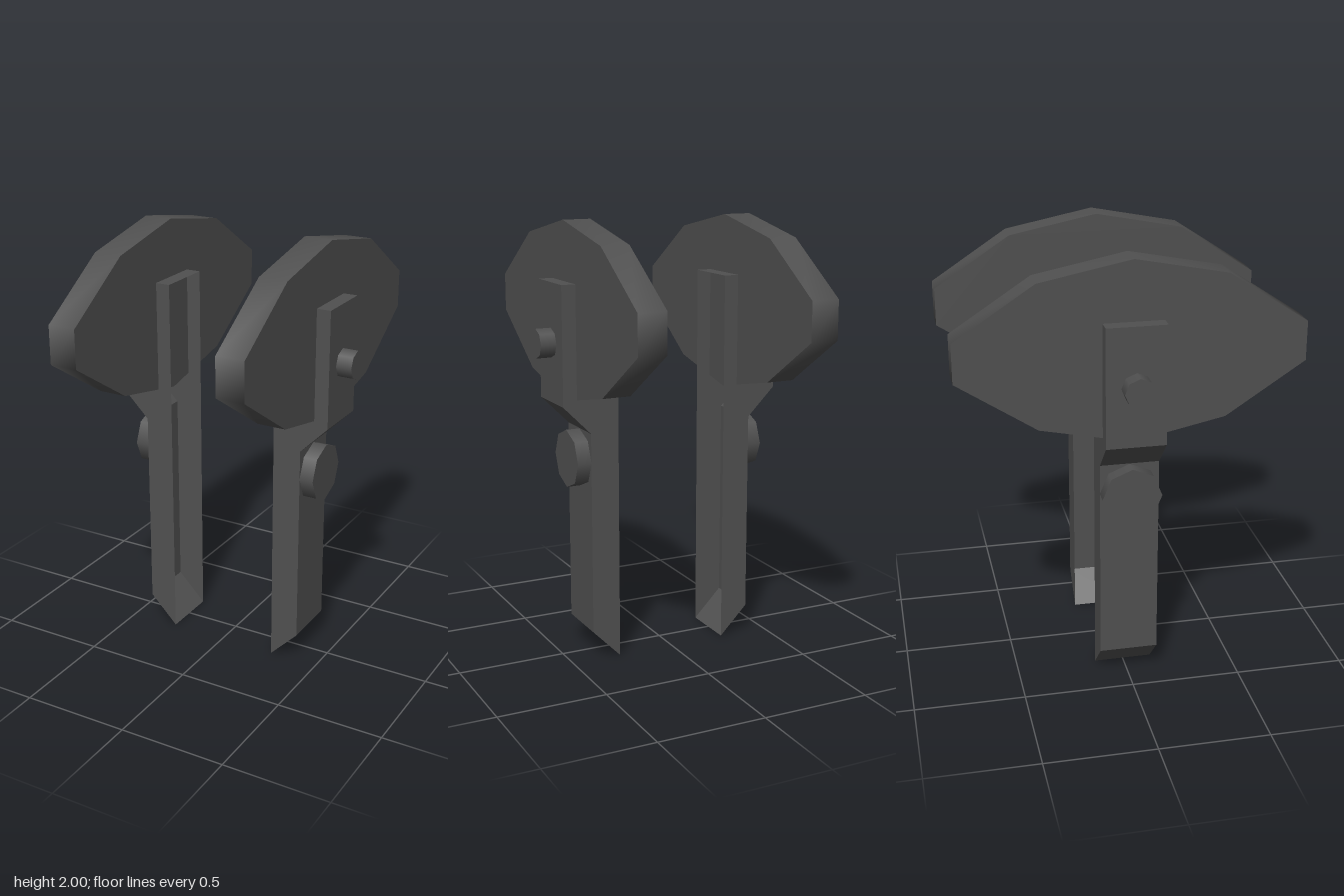
import * as THREE from 'three';
import { toCreasedNormals } from 'three/addons/utils/BufferGeometryUtils.js';

const darkGrey = new THREE.MeshStandardMaterial({ color: 0x505050, side: THREE.DoubleSide });
darkGrey.name = 'darkGrey';

const HALF_DEPTH = 0.132;

// Arm outline (x, y), from the inner tip round the outside to the inner top
const ARM = [[0.267, 0], [0.4, 0.135], [0.4, 1.07], [0.53, 1.2], [0.53, 1.735], [0.267, 1.735]];

// One half of the paddle outline (z, y)
const PADDLE = [[0, 2], [0.405, 1.92], [0.755, 1.69], [0.755, 1.515], [0.405, 1.285], [0, 1.2]];

function mesh(name, geometry) {
  const m = new THREE.Mesh(geometry, darkGrey);
  m.name = name;
  return m;
}

// Outer walls of the hollow arm; the inner side stays open
function wallGeometry(side) {
  const positions = [];
  for (let i = 0; i < ARM.length - 1; i++) {
    const [a, b] = side > 0 ? [ARM[i], ARM[i + 1]] : [ARM[i + 1], ARM[i]];
    const af = [a[0] * side, a[1], HALF_DEPTH], ab = [a[0] * side, a[1], -HALF_DEPTH];
    const bf = [b[0] * side, b[1], HALF_DEPTH], bb = [b[0] * side, b[1], -HALF_DEPTH];
    positions.push(...af, ...ab, ...bb, ...af, ...bb, ...bf);
  }
  const g = new THREE.BufferGeometry();
  g.setAttribute('position', new THREE.Float32BufferAttribute(positions, 3));
  g.computeVertexNormals();
  return g;
}

// Faceted paddle plate, softly shaded round its rim
function paddleGeometry() {
  const mirrored = PADDLE.slice(1, -1).reverse().map(([z, y]) => [-z, y]);
  const shape = new THREE.Shape([...PADDLE, ...mirrored].map(p => new THREE.Vector2(...p)));
  const g = new THREE.ExtrudeGeometry(shape, { depth: 0.13, bevelEnabled: false });
  g.translate(0, 0, -0.065).rotateY(Math.PI / 2);
  return toCreasedNormals(g, Math.PI * 0.36);
}

// Eight-sided pin lying along x
function pin(name, radius, from, to, y, side) {
  const g = new THREE.CylinderGeometry(radius, radius, to - from, 8).rotateZ(-side * Math.PI / 2);
  const m = mesh(name, g);
  m.position.set(side * (from + to) / 2, y, 0);
  return m;
}

function createUnit(side) {
  const unit = new THREE.Group();
  unit.name = side > 0 ? 'leftUnit' : 'rightUnit';

  // Hollow arm: walls plus front and back cheeks
  const arm = new THREE.Group();
  arm.name = 'arm';
  arm.add(mesh('armWalls', wallGeometry(side)));
  const outline = new THREE.Shape(ARM.map(([x, y]) => new THREE.Vector2(x * side, y)));
  const front = mesh('armFrontCheek', new THREE.ShapeGeometry(outline));
  front.position.z = HALF_DEPTH;
  const backOutline = new THREE.Shape(ARM.map(([x, y]) => new THREE.Vector2(-x * side, y)));
  const back = mesh('armBackCheek', new THREE.ShapeGeometry(backOutline).rotateY(Math.PI));
  back.position.z = -HALF_DEPTH;
  arm.add(front, back);

  // Paddle held in the arm's upper housing
  const paddle = mesh('paddle', paddleGeometry());
  paddle.position.x = side * 0.4;

  unit.add(arm, paddle,
    pin('pivotPin', 0.066, 0.53, 0.602, 1.468, side),
    pin('roundBolt', 0.133, 0.4, 0.465, 0.935, side));
  return unit;
}

export function createModel() {
  const model = new THREE.Group();
  model.name = 'pairedPaddleArms';
  for (const side of [1, -1]) model.add(createUnit(side));
  return model;
}
